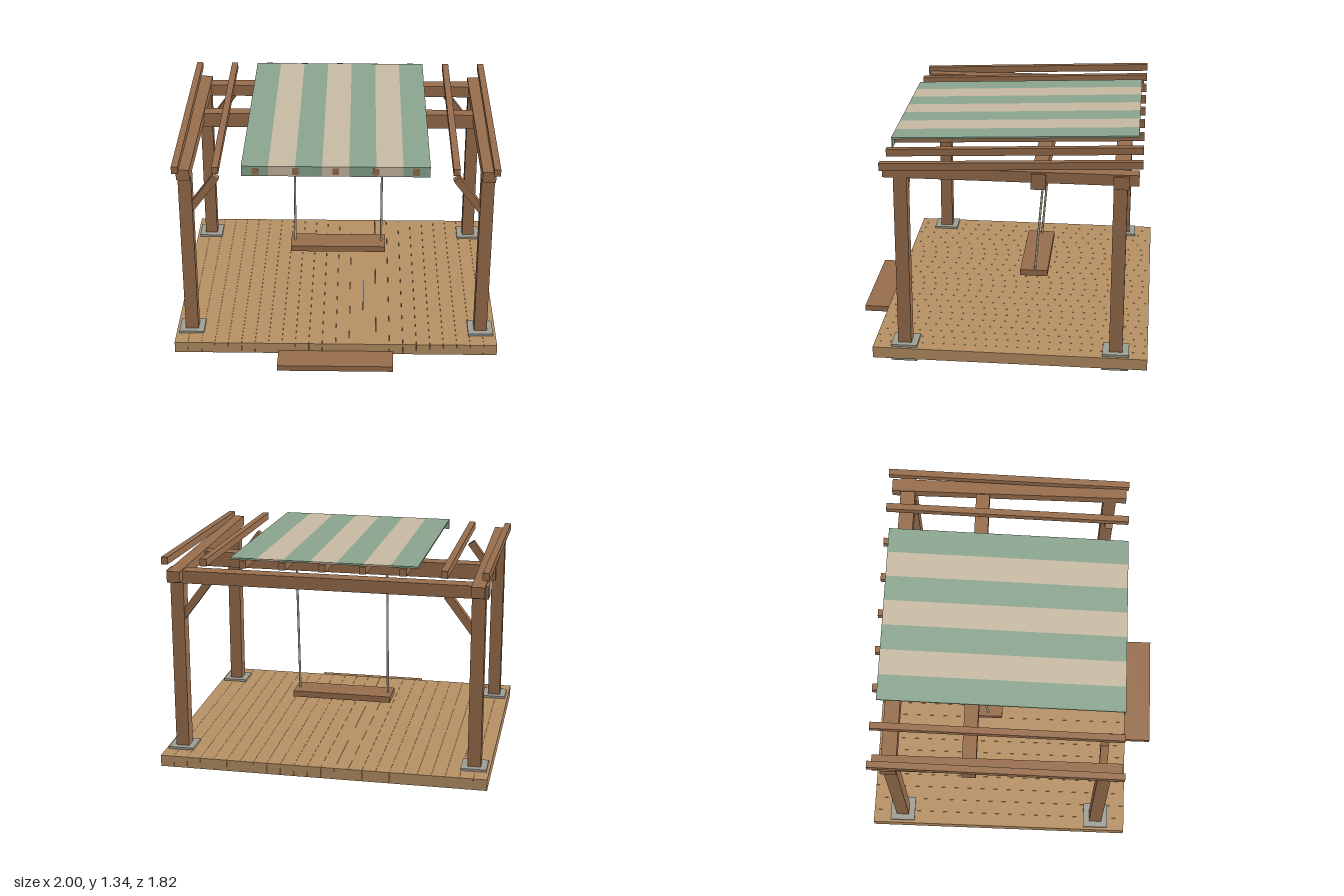
import * as THREE from 'three';

const mat = (name, color) => {
  const m = new THREE.MeshStandardMaterial({ color });
  m.name = name;
  return m;
};

export function createModel() {
  const timber = mat('timber brown', 0x976d4c);
  const decking = mat('decking tan', 0xb58f63);
  const green = mat('canvas green', 0x8aa48e);
  const cream = mat('canvas cream', 0xc7b9a2);
  const stone = mat('footing grey', 0x9d9d94);
  const cord = mat('rope beige', 0xbdb39c);

  const model = new THREE.Group();
  model.name = 'pergola';

  // Box given by its ranges on each axis
  const box = (name, material, [x0, x1], [y0, y1], [z0, z1], parent = model) => {
    const mesh = new THREE.Mesh(new THREE.BoxGeometry(x1 - x0, y1 - y0, z1 - z0), material);
    mesh.position.set((x0 + x1) / 2, (y0 + y1) / 2, (z0 + z1) / 2);
    mesh.name = name;
    parent.add(mesh);
    return mesh;
  };
  const around = (c, size) => [c - size / 2, c + size / 2];

  // Deck planks running front to back
  const deck = new THREE.Group();
  deck.name = 'deck';
  model.add(deck);
  const planks = 24, pitch = 2 / planks;
  for (let i = 0; i < planks; i++) {
    box('deckPlank', decking, around(-1 + pitch * (i + 0.5), pitch - 0.001), [0.02, 0.09], [-0.91, 0.74], deck);
  }

  // Front step
  box('step', timber, [-0.355, 0.355], [0.004, 0.04], [0.742, 0.913]);

  // Footings, posts, knee braces and side beams
  for (const side of [-1, 1]) {
    for (const z of [0.552, -0.72]) {
      box('footing', stone, around(side * 0.905, 0.155), [0, 0.104], around(z, 0.158));
      box('post', timber, around(side * 0.905, 0.08), [0.1, 1.2], around(z, 0.08));
      const brace = box('kneeBrace', timber, around(side * 0.81, 0.045), around(1.03, 0.3), around(z, 0.048));
      brace.rotation.z = side * Math.atan2(0.6, 0.8);
    }
    box('sideBeam', timber, around(side * 0.905, 0.08), [1.17, 1.236], [-0.825, 0.655]);
  }

  // Cross beams: back beam and swing beam
  box('backBeam', timber, [-0.963, 0.963], [1.152, 1.228], around(-0.725, 0.092));
  box('swingBeam', timber, [-0.957, 0.957], [1.132, 1.226], around(-0.25, 0.085));

  // Sloping roof, tilted up toward the back; local y = 0 is the rafter centre line
  const roof = new THREE.Group();
  roof.name = 'roof';
  roof.position.set(0, 1.273, -0.087);
  roof.rotation.x = Math.atan(0.043);
  model.add(roof);
  for (let i = -4; i <= 4; i++) {
    box('rafter', timber, around(i * 0.2375, 0.04), around(0, 0.044), [-0.757, 0.757], roof);
  }

  // Striped canopy with a hanging front valance
  const stripes = 7, width = 1.114 / stripes;
  for (let i = 0; i < stripes; i++) {
    const xs = around((i - 3) * width, width);
    const cloth = i % 2 ? cream : green;
    box('canopyStripe', cloth, xs, [0.022, 0.032], [-0.728, 0.756], roof);
    box('valanceStripe', cloth, xs, [1.208, 1.268], [0.66, 0.667]);
  }

  // Swing seat and its two leaning ropes
  box('swingSeat', timber, [-0.313, 0.313], [0.285, 0.324], [-0.262, -0.088]);
  for (const side of [-1, 1]) {
    const path = new THREE.LineCurve3(
      new THREE.Vector3(side * 0.286, 1.14, -0.246),
      new THREE.Vector3(side * 0.286, 0.315, -0.18));
    const rope = new THREE.Mesh(new THREE.TubeGeometry(path, 1, 0.007, 8), cord);
    rope.name = 'swingRope';
    model.add(rope);
  }

  return model;
}
